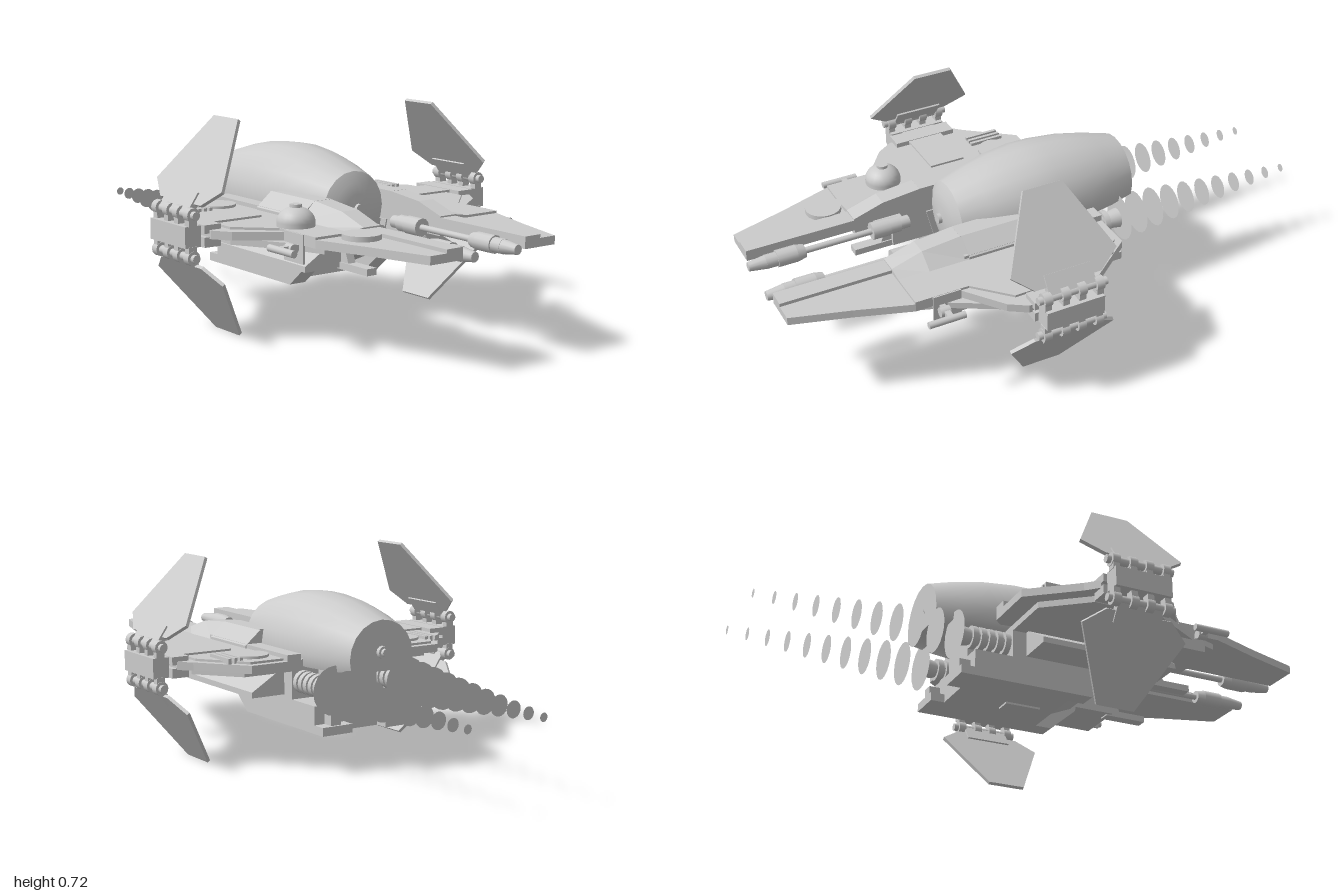
import * as THREE from 'three';

const mat = new THREE.MeshStandardMaterial({ color: 0xcccccc });
const thin = new THREE.MeshStandardMaterial({ color: 0xcccccc, side: THREE.DoubleSide });

const shapeOf = (pts) => new THREE.Shape(pts.map(([a, b]) => new THREE.Vector2(a, b)));
const extrude = (pts, depth) => new THREE.ExtrudeGeometry(shapeOf(pts), { depth, bevelEnabled: false });
// Horizontal plate from an [x, z] outline
const plate = (pts, y0, y1) => extrude(pts, y1 - y0).rotateX(Math.PI / 2).translate(0, y1, 0);
// Side profile [z, y] swept across x
const across = (pts, x0, x1) => extrude(pts, x1 - x0).rotateY(-Math.PI / 2).translate(x1, 0, 0);
// Front profile [x, y] swept along z
const along = (pts, z0, z1) => extrude(pts, z1 - z0).translate(0, 0, z0);
const box = (x0, x1, y0, y1, z0, z1) =>
  new THREE.BoxGeometry(x1 - x0, y1 - y0, z1 - z0).translate((x0 + x1) / 2, (y0 + y1) / 2, (z0 + z1) / 2);
// Cylinder along z, with separate front and back radii
const rod = (x, y, z0, z1, rBack, rFront = rBack, n = 12) =>
  new THREE.CylinderGeometry(rFront, rBack, z1 - z0, n).rotateX(Math.PI / 2).translate(x, y, (z0 + z1) / 2);
const disc = (x, y0, y1, z, r) => new THREE.CylinderGeometry(r, r, y1 - y0, 20).translate(x, (y0 + y1) / 2, z);

function mirrored(geo) {
  const g = geo.clone().scale(-1, 1, 1);
  const idx = g.index ? Array.from(g.index.array) : Array.from({ length: g.attributes.position.count }, (_, i) => i);
  for (let i = 0; i < idx.length; i += 3) [idx[i + 1], idx[i + 2]] = [idx[i + 2], idx[i + 1]];
  g.setIndex(idx);
  return g;
}

export function createModel() {
  const model = new THREE.Group();
  model.name = 'starfighter';
  const add = (name, geo, m = mat) => {
    const mesh = new THREE.Mesh(geo, m);
    mesh.name = name;
    model.add(mesh);
  };
  const pair = (name, geo, m = mat) => {
    add(name + 'Left', geo, m);
    add(name + 'Right', mirrored(geo), m);
  };

  // Barrel-shaped cockpit, flat underneath towards the rear
  const lathe = (pts) => {
    const g = new THREE.LatheGeometry(pts.map(([r, z]) => new THREE.Vector2(r, z)), 20)
      .rotateX(Math.PI / 2).translate(0, 0.395, 0);
    const p = g.attributes.position;
    for (let i = 0; i < p.count; i++) {
      const floor = 0.35 - 0.09 * THREE.MathUtils.smoothstep(p.getZ(i), 0, 0.3);
      if (p.getY(i) < floor) p.setY(i, floor);
    }
    return g;
  };
  add('cockpitShell', lathe([[0.13, -0.36], [0.155, -0.27], [0.176, -0.17], [0.187, -0.06], [0.188, 0.02],
    [0.176, 0.12], [0.155, 0.21], [0.126, 0.305]]));
  add('cockpitRearCap', lathe([[0, -0.36], [0.13, -0.36]]));
  add('cockpitNose', lathe([[0.126, 0.305], [0.09, 0.322], [0.05, 0.33], [0, 0.334]]));
  add('noseStud', rod(0, 0.395, 0.325, 0.345, 0.018));
  add('rearStud', rod(0, 0.415, -0.375, -0.355, 0.022));
  add('rearStudTip', rod(0, 0.415, -0.387, -0.375, 0.014));
  pair('cockpitPin', rod(0.15, 0.42, 0.18, 0.22, 0.015));

  // Lower hull
  add('hullCore', across([[-0.1, 0.345], [-0.1, 0.135], [0.14, 0.135], [0.14, 0.165], [0.28, 0.225], [0.3, 0.345]], -0.125, 0.125));
  pair('hullCheek', across([[-0.1, 0.345], [-0.1, 0.135], [0.2, 0.135], [0.3, 0.22], [0.33, 0.345]], 0.125, 0.19));
  add('hullTail', box(-0.19, 0.19, 0.135, 0.23, -0.24, -0.1));
  add('tailBlock', box(-0.08, 0.08, 0.2, 0.345, -0.22, -0.1));
  add('bellyPad', box(-0.03, 0.03, 0.128, 0.136, -0.05, 0.08));
  pair('tailStep', box(0.07, 0.19, 0.135, 0.165, -0.29, -0.24));
  pair('tailClip', box(0.11, 0.15, 0.165, 0.205, -0.28, -0.24));
  pair('sideSkirt', along([[0.13, 0.24], [0.32, 0.24], [0.32, 0.26], [0.195, 0.335], [0.13, 0.335]], -0.05, 0.46));
  pair('underLauncher', box(0.14, 0.18, 0.235, 0.258, 0.44, 0.6));
  pair('launcherMount', across([[0.44, 0.255], [0.5, 0.255], [0.48, 0.305], [0.44, 0.305]], 0.145, 0.175));

  // Wings in layered plates
  pair('wingPlate', plate([[0.13, 0.99], [0.26, 0.99], [0.32, 0.79], [0.385, 0.6], [0.385, 0.44], [0.52, 0.34], [0.56, 0.28],
    [0.56, 0.04], [0.52, 0], [0.39, -0.165], [0.195, -0.165], [0.13, -0.1]], 0.35, 0.378));
  pair('wingUnderPlate', plate([[0.13, 0.6], [0.35, 0.6], [0.385, 0.5], [0.5, 0.3], [0.5, 0.05], [0.38, -0.1], [0.13, -0.1]], 0.328, 0.35));
  pair('wingTopPlate', plate([[0.195, 0.6], [0.385, 0.6], [0.385, 0.41], [0.5, 0.3], [0.5, 0.02], [0.38, -0.14], [0.195, -0.14]], 0.378, 0.386));
  pair('wingSpine', box(0.13, 0.195, 0.378, 0.39, 0.34, 0.99));
  pair('wingRootRail', box(0.195, 0.25, 0.37, 0.4, -0.165, 0.36));
  pair('rootBlock', box(0.13, 0.195, 0.33, 0.445, 0.12, 0.35));
  pair('rootShoulder', along([[0.19, 0.38], [0.255, 0.38], [0.255, 0.395], [0.195, 0.445], [0.19, 0.445]], 0.1, 0.345));

  // Ramp running down from the shoulder along the wing
  const rampSection = (z, h) => [[0.13, 0.385], [0.255, 0.385], [0.195, h], [0.13, h]].map(([x, y]) => [x, y, z]).flat();
  const ramp = new THREE.BufferGeometry();
  ramp.setAttribute('position', new THREE.Float32BufferAttribute(
    [...rampSection(0.345, 0.445), ...rampSection(0.49, 0.43), ...rampSection(0.6, 0.395)], 3));
  const faces = [0, 2, 1, 0, 3, 2, 8, 9, 10, 8, 10, 11];
  for (let s = 0; s < 8; s += 4) {
    for (let i = 0; i < 4; i++) {
      const a = s + i, b = s + (i + 1) % 4;
      faces.push(a, b, b + 4, a, b + 4, a + 4);
    }
  }
  ramp.setIndex(faces);
  const flatRamp = ramp.toNonIndexed();
  flatRamp.computeVertexNormals();
  pair('wingRamp', flatRamp);

  // Wing details: hatches, vents, arm and side gun
  pair('rearHatch', disc(0.32, 0.38, 0.395, -0.04, 0.063));
  for (let i = 0; i < 3; i++) pair('ventSlat', box(0.385 + i * 0.022, 0.397 + i * 0.022, 0.375, 0.397, -0.1, 0.025));
  pair('finArm', box(0.32, 0.59, 0.36, 0.393, 0.09, 0.22));
  pair('tipUpperBlock', box(0.515, 0.578, 0.367, 0.395, 0.04, 0.27));
  pair('tipLowerBlock', box(0.515, 0.578, 0.322, 0.355, 0.04, 0.27));
  pair('sideGunBracket', box(0.382, 0.39, 0.29, 0.385, 0.44, 0.54));
  pair('sideGunArm', box(0.385, 0.46, 0.333, 0.35, 0.5, 0.52));
  pair('sideGunBarrel', rod(0.46, 0.34, 0.46, 0.59, 0.012));
  pair('sideGunMount', rod(0.415, 0.34, 0.495, 0.53, 0.017));
  add('frontHatch', disc(-0.255, 0.376, 0.395, 0.665, 0.063));

  // Navigator dome on the right wing
  add('domeCollar', disc(-0.32, 0.38, 0.4, 0.41, 0.063));
  add('dome', new THREE.SphereGeometry(0.063, 20, 8, 0, Math.PI * 2, 0, Math.PI / 2).scale(1, 0.8, 1).translate(-0.32, 0.4, 0.41));
  add('domeCap', disc(-0.32, 0.445, 0.458, 0.41, 0.02));

  // Forward cannons: [back z, front z, back radius, front radius]
  const cannon = [[0.415, 0.45, 0.022], [0.45, 0.49, 0.028], [0.49, 0.555, 0.031], [0.555, 0.81, 0.011],
    [0.8, 0.83, 0.024, 0.03], [0.83, 0.9, 0.03], [0.9, 0.94, 0.025], [0.94, 1, 0.024, 0.016]];
  for (const [z0, z1, rb, rf] of cannon) pair('cannonSection', rod(0.09, 0.355, z0, z1, rb, rf));
  pair('cannonMount', box(0.09, 0.14, 0.343, 0.367, 0.43, 0.53));

  // Hinge housings and four folding fins
  pair('hingeHousing', box(0.585, 0.645, 0.325, 0.395, 0.05, 0.26));
  for (const s of [1, -1]) {
    const y = (d) => 0.36 + s * d;
    const level = s > 0 ? 'upper' : 'lower';
    pair(level + 'HingePin', rod(0.615, y(0.07), 0.03, 0.28, 0.014));
    for (const z of [0.06, 0.125, 0.185, 0.25]) {
      pair(level + 'HingeKnuckle', rod(0.615, y(0.07), z - 0.014, z + 0.014, 0.024));
      pair(level + 'HingeLug', box(0.602, 0.632, y(0.05) - 0.018, y(0.05) + 0.018, z - 0.012, z + 0.012));
    }
    const clip = box(-0.012, 0.012, 0, 0.075, 0.07, 0.24);
    // Fin outline: z across, distance from the hinge upwards
    const fin = across([[0.04, 0.035], [0.28, 0.035], [0.35, 0.095], [0.23, 0.35], [0.09, 0.35], [-0.035, 0.095]], -0.006, 0.006);
    const tilt = Math.atan2(0.2, 0.285);
    const place = (g) => g.rotateZ(s > 0 ? tilt : Math.PI - tilt).translate(0.615, y(0.07), 0);
    // Lower fins are turned over, so restore their front-to-back direction
    pair(level + 'Fin', place(fin));
    pair(level + 'FinClip', place(clip));
  }

  // Engines with ribbed nozzles and tapering exhaust rings
  pair('engineCore', rod(0.15, 0.29, -0.26, -0.08, 0.028));
  for (let i = 0; i < 5; i++) pair('engineRib', rod(0.15, 0.29, -0.125 - i * 0.03, -0.105 - i * 0.03, 0.04, 0.04, 16));
  pair('engineNozzle', rod(0.15, 0.29, -0.29, -0.25, 0.036, 0.03, 16));
  const rings = 11;
  for (let i = 0; i < rings; i++) {
    const t = i / (rings - 1);
    pair('exhaustRing', new THREE.CircleGeometry(0.085 - 0.07 * t, 20).translate(0.15, 0.29, -0.3 - 0.7 * t), thin);
  }
  return model;
}
